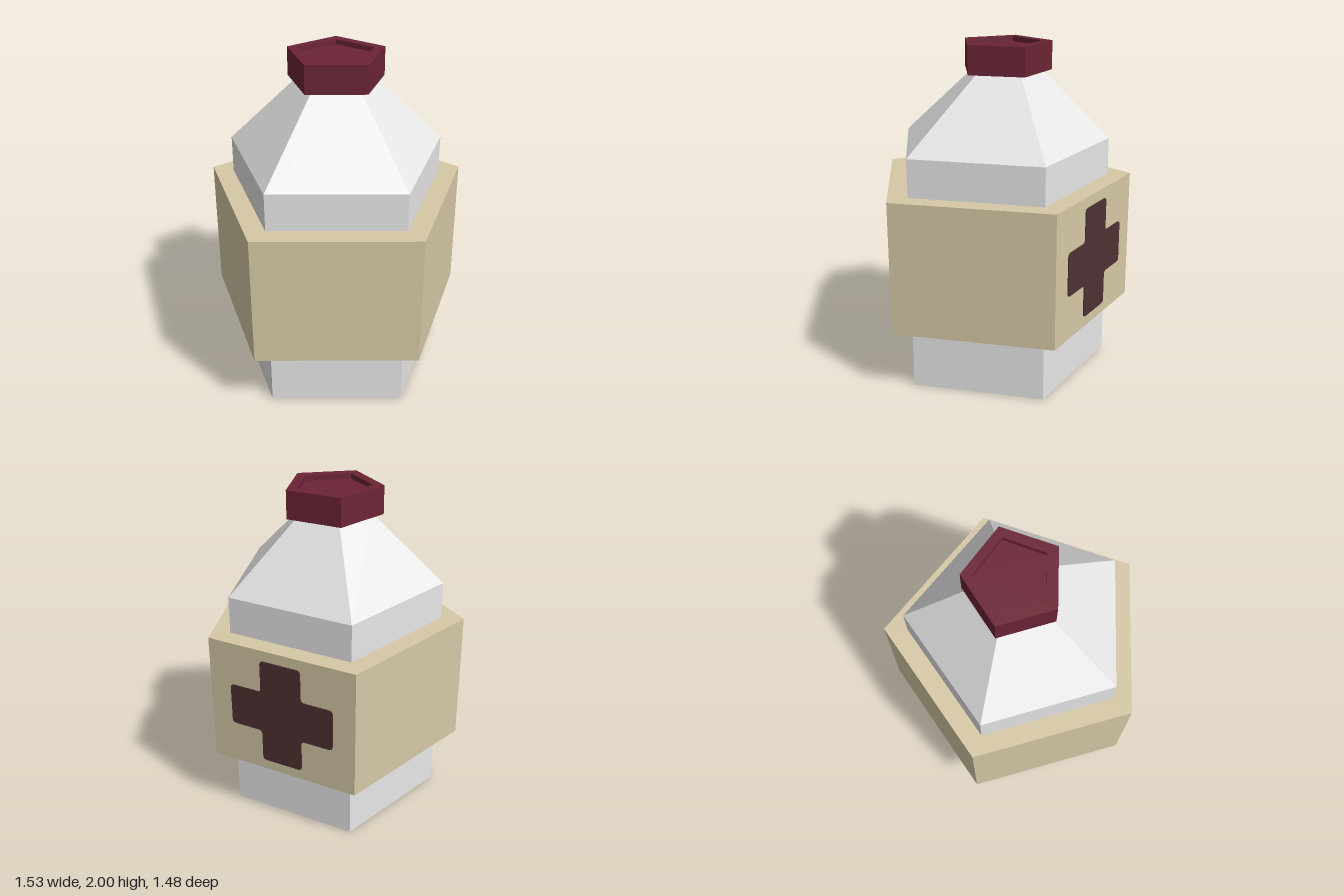
import * as THREE from 'three';

const mat = (name, color) => {
  const m = new THREE.MeshStandardMaterial({ color, flatShading: true });
  m.name = name;
  return m;
};

// Pentagon ring with its point to the back, counterclockwise from above
const ring = (y, [sideX, frontX, backZ, sideZ, frontZ]) => [
  [0, y, backZ], [-sideX, y, sideZ], [-frontX, y, frontZ], [frontX, y, frontZ], [sideX, y, sideZ],
];

// Closed solid through a stack of pentagon rings
function loft(name, material, rings) {
  const pos = [];
  const tri = (a, b, c) => pos.push(...a, ...b, ...c);
  for (let r = 0; r < rings.length - 1; r++) {
    const lo = rings[r], hi = rings[r + 1];
    for (let i = 0; i < 5; i++) {
      const j = (i + 1) % 5;
      tri(lo[i], lo[j], hi[j]);
      tri(lo[i], hi[j], hi[i]);
    }
  }
  const first = rings[0], last = rings[rings.length - 1];
  for (let i = 1; i < 4; i++) {
    tri(first[0], first[i + 1], first[i]);
    tri(last[0], last[i], last[i + 1]);
  }
  const g = new THREE.BufferGeometry();
  g.setAttribute('position', new THREE.Float32BufferAttribute(pos, 3));
  g.computeVertexNormals();
  const mesh = new THREE.Mesh(g, material);
  mesh.name = name;
  return mesh;
}

// Cross outline with softened corners
function crossShape(half, arm, r) {
  const corners = [];
  for (let q = 0; q < 4; q++) {
    const c = Math.round(Math.cos(q * Math.PI / 2)), s = Math.round(Math.sin(q * Math.PI / 2));
    for (const [x, y] of [[half, -arm], [half, arm], [arm, arm]]) {
      corners.push(new THREE.Vector2(x * c - y * s, x * s + y * c));
    }
  }
  const shape = new THREE.Shape();
  corners.forEach((p, i) => {
    const prev = corners[(i + 11) % 12], next = corners[(i + 1) % 12];
    const a = p.clone().add(prev.clone().sub(p).setLength(r));
    const b = p.clone().add(next.clone().sub(p).setLength(r));
    if (i === 0) shape.moveTo(a.x, a.y);
    else shape.lineTo(a.x, a.y);
    shape.quadraticCurveTo(p.x, p.y, b.x, b.y);
  });
  shape.closePath();
  return shape;
}

export function createModel() {
  const white = mat('bottle white', 0xe8e8e8);
  const cream = mat('label cream', 0xd6c9a6);
  const red = mat('cap red', 0x6c2436);
  const maroon = mat('cross maroon', 0x4f3133);

  const body = [0.635, 0.39, -0.6, -0.13, 0.62];
  const neck = [0.21, 0.13, -0.18, -0.035, 0.2];
  const band = [0.765, 0.475, -0.74, -0.175, 0.735];
  const cap = [0.28, 0.175, -0.245, -0.055, 0.26];
  const recess = [0.217, 0.135, -0.18, -0.035, 0.2];

  const model = new THREE.Group();
  model.name = 'medicineBottle';

  // Bottle with sloping shoulders, and the raised label band around it
  model.add(loft('bottle', white, [ring(0, body), ring(1.405, body), ring(1.84, neck)]));
  model.add(loft('labelBand', cream, [ring(0.38, band), ring(1.18, band)]));

  // Cap with a shallow recess in its top
  model.add(loft('cap', red, [ring(1.83, cap), ring(2, cap), ring(2, recess), ring(1.97, recess)]));

  // Cross plate on the back face towards +x
  const crossGeo = new THREE.ExtrudeGeometry(crossShape(0.335, 0.131, 0.025),
    { depth: 0.006, bevelEnabled: false, curveSegments: 4 });
  const cross = new THREE.Mesh(crossGeo, maroon);
  cross.name = 'cross';
  cross.position.set(0.3825, 0.78, -0.4575);
  cross.rotation.y = Math.atan2(0.565, -0.765);
  model.add(cross);

  return model;
}
